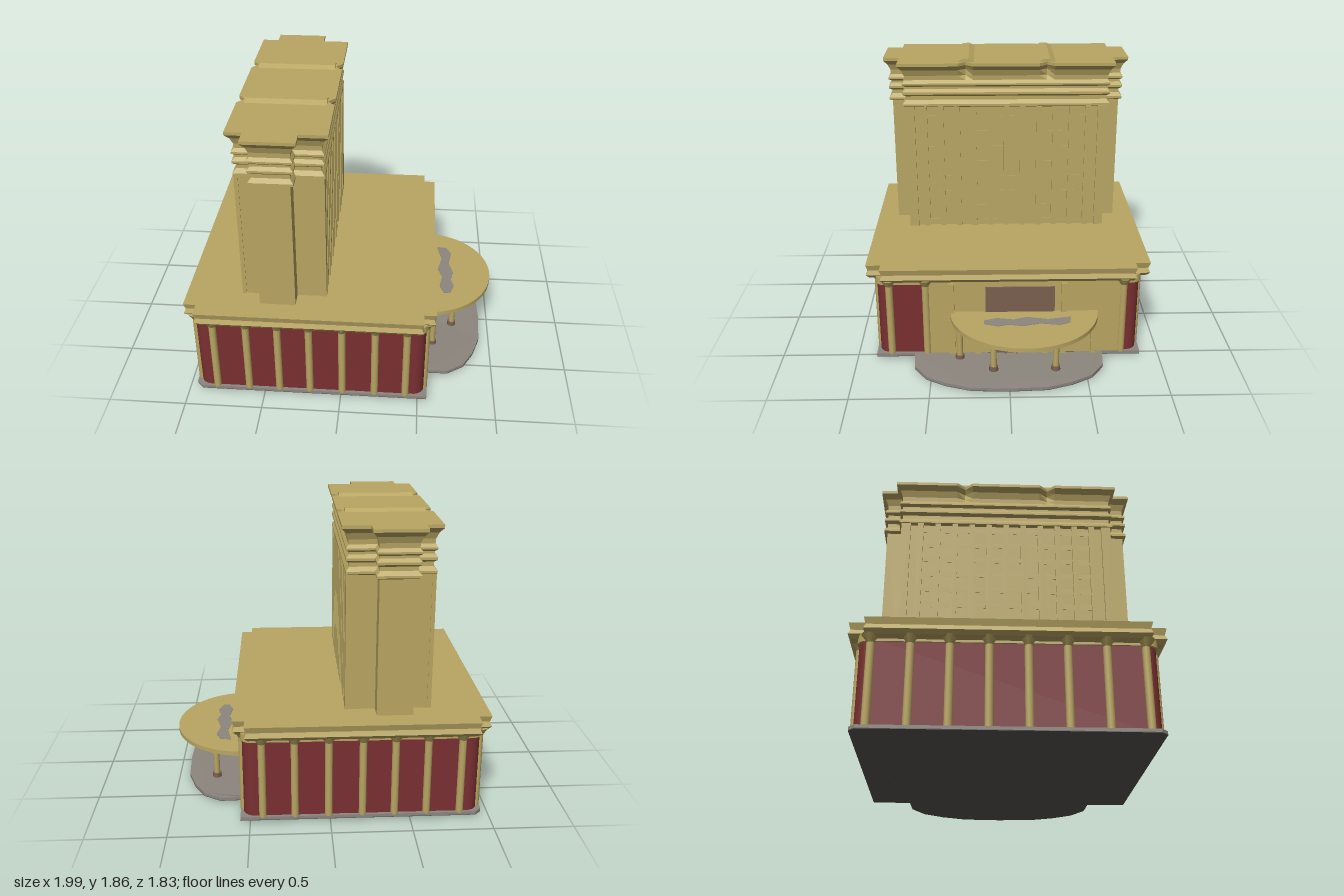
import * as THREE from 'three';

const mat = (name, color, opts = {}) => {
  const m = new THREE.MeshStandardMaterial({ color, ...opts });
  m.name = name;
  return m;
};

// Plan of a block with notched corners: wide in x over +-zIn, long in z over xIn.
// g grows the outline, n cuts V notches into both long sides at z = +-0.27.
function crossPlan([x0, x1, xi0, xi1, zIn, zOut], g, n = 0) {
  const notch = [-0.27, 0.27].flatMap(z => [[z - 0.05, 0], [z, n], [z + 0.05, 0]]);
  return [
    [xi0 - g, -zOut - g], [xi1 + g, -zOut - g], [xi1 + g, -zIn - g], [x1 + g, -zIn - g],
    ...notch.map(([z, d]) => [x1 + g - d, z]),
    [x1 + g, zIn + g], [xi1 + g, zIn + g], [xi1 + g, zOut + g],
    [xi0 - g, zOut + g], [xi0 - g, zIn + g], [x0 - g, zIn + g],
    ...notch.reverse().map(([z, d]) => [x0 - g + d, z]),
    [x0 - g, -zIn - g], [xi0 - g, -zIn - g],
  ];
}

// Stack plan outlines at rising heights and close both ends.
function loft(base, levels) {
  const rings = levels.map(([y, g, n]) => crossPlan(base, g, n).map(([x, z]) => [x, y, z]));
  const pos = [];
  const tri = (a, b, c) => pos.push(...a, ...b, ...c);
  for (let i = 0; i + 1 < rings.length; i++) {
    const lo = rings[i], hi = rings[i + 1];
    lo.forEach((p, j) => {
      const k = (j + 1) % lo.length;
      tri(p, hi[j], hi[k]);
      tri(p, hi[k], lo[k]);
    });
  }
  const top = rings[rings.length - 1], bottom = rings[0];
  const faces = THREE.ShapeUtils.triangulateShape(top.map(p => new THREE.Vector2(p[0], p[2])), []);
  for (const [a, b, c] of faces) {
    tri(top[a], top[c], top[b]);
    tri(bottom[a], bottom[b], bottom[c]);
  }
  const geo = new THREE.BufferGeometry();
  geo.setAttribute('position', new THREE.Float32BufferAttribute(pos, 3));
  geo.computeVertexNormals();
  return geo;
}

// Flat slab from an outline in x and z, hanging down from height top.
function slab(shape, top, depth) {
  const geo = new THREE.ExtrudeGeometry(shape, { depth, bevelEnabled: false, curveSegments: 32 });
  return geo.rotateX(Math.PI / 2).translate(0, top, 0);
}

function roundedRect(x0, x1, z, r) {
  const s = new THREE.Shape();
  s.absarc(x1 - r, z - r, r, 0, Math.PI / 2);
  s.absarc(x0 + r, z - r, r, Math.PI / 2, Math.PI);
  s.absarc(x0 + r, -z + r, r, Math.PI, Math.PI * 1.5);
  s.absarc(x1 - r, -z + r, r, Math.PI * 1.5, Math.PI * 2);
  return s;
}

export function createModel() {
  const model = new THREE.Group();
  const sand = mat('sand stone', 0xb9a663);
  const red = mat('dark red', 0x7a2f31);
  const grey = mat('paving grey', 0x8c867e);
  const dark = mat('underside grey', 0x5a5854);
  const brown = mat('brown', 0x7a604e);

  const add = (name, geo, material, parent = model) => {
    const mesh = new THREE.Mesh(geo, material);
    mesh.name = name;
    parent.add(mesh);
    return mesh;
  };
  const group = name => {
    const g = new THREE.Group();
    g.name = name;
    model.add(g);
    return g;
  };
  // Box given by its limits
  const box = (name, x0, x1, y0, y1, z0, z1, material, parent) =>
    add(name, new THREE.BoxGeometry(x1 - x0, y1 - y0, z1 - z0)
      .translate((x0 + x1) / 2, (y0 + y1) / 2, (z0 + z1) / 2), material, parent);

  // Paving with a forecourt that slopes down
  const half = [[0.56, 0.87], [0.56, 0.62], [0.7, 0.61], [0.81, 0.53], [0.88, 0.4], [0.93, 0.24], [0.94, 0]];
  const outline = new THREE.Shape([
    [-0.95, -0.83], [-0.95, 0.83], [-0.91, 0.87], ...half,
    ...half.slice(0, -1).reverse().map(([x, z]) => [x, -z]), [-0.91, -0.87],
  ].map(p => new THREE.Vector2(...p)));
  const paving = (top, depth) => {
    const geo = slab(outline, top, depth), p = geo.attributes.position;
    for (let i = 0; i < p.count; i++) {
      p.setY(i, p.getY(i) - Math.max(0, p.getX(i) - 0.56) / 0.38 * 0.022);
    }
    geo.computeVertexNormals();
    return geo;
  };
  add('paving', paving(0.045, 0.019), grey);
  add('pavingUnderside', paving(0.026, 0.004), dark);

  // Podium: red hall with sand columns, band and roof
  add('podiumWalls', slab(roundedRect(-0.925, 0.54, 0.85, 0.07), 0.57, 0.54), red);
  add('podiumBand', slab(roundedRect(-0.935, 0.55, 0.86, 0.07), 0.6, 0.05), sand);
  add('podiumRoof', loft([-0.99, 0.595, -0.91, 0.52, 0.82, 0.915],
    [[0.565, -0.055], [0.58, -0.02], [0.605, 0], [0.635, -0.012], [0.675, 0]]), sand);

  const columns = group('podiumColumns');
  const column = (x, z) => {
    const shaft = add('column', new THREE.CylinderGeometry(0.024, 0.024, 0.53, 10), sand, columns);
    shaft.position.set(x, 0.305, z);
    const capital = add('capital', new THREE.CylinderGeometry(0.055, 0.024, 0.05, 10), sand, columns);
    capital.position.set(x, 0.565, z);
  };
  for (const x of [-0.81, -0.6, -0.4, -0.2, 0.01, 0.22, 0.42]) {
    for (const s of [-1, 1]) column(x, s * 0.85);
  }
  for (let i = 0; i < 8; i++) column(-0.925, -0.78 + i * 0.223);
  for (const z of [0.77, 0.535, -0.745]) column(0.54, z);

  // Entrance wall with frames, window and door
  const entrance = group('entrance');
  box('entranceWall', 0.5, 0.55, 0.04, 0.58, -0.73, 0.54, sand, entrance);
  for (const z of [0.37, 0.2, -0.24, -0.36, -0.56]) {
    box('entrancePilaster', 0.54, 0.57, 0.04, z === 0.37 || z === -0.36 ? 0.56 : 0.3, z - 0.018, z + 0.018, sand, entrance);
  }
  box('entranceLintel', 0.54, 0.575, 0.27, 0.3, -0.5, 0.39, sand, entrance);
  box('upperWindow', 0.55, 0.558, 0.35, 0.53, -0.3, 0.15, brown, entrance);
  box('door', 0.55, 0.558, 0.04, 0.19, -0.05, 0.09, brown, entrance);
  for (const z of [-0.055, 0.02, 0.095]) {
    box('doorFrame', 0.55, 0.57, 0.04, 0.19, z - 0.007, z + 0.007, brown, entrance);
  }
  box('doorHead', 0.55, 0.575, 0.18, 0.195, -0.06, 0.1, brown, entrance);

  // Half-oval canopy on posts
  const canopy = group('canopy');
  const oval = r => {
    const s = new THREE.Shape();
    s.absellipse(0.54, -0.1, 0.46 - r, 0.48 - r, -Math.PI / 2, Math.PI / 2);
    s.closePath();
    return s;
  };
  add('canopyTop', slab(oval(0), 0.35, 0.028), sand, canopy);
  add('canopySoffit', slab(oval(0.03), 0.325, 0.02), sand, canopy);
  const patch = new THREE.Shape([[0.63, -0.4], [0.7, -0.39], [0.73, -0.32], [0.71, -0.2], [0.74, -0.08],
    [0.72, 0], [0.74, 0.07], [0.71, 0.16], [0.67, 0.16], [0.64, 0.08], [0.66, -0.03], [0.63, -0.12],
    [0.66, -0.25]].map(p => new THREE.Vector2(...p)));
  add('canopyPatch', slab(patch, 0.353, 0.004), grey, canopy);
  for (const [x, z] of [[0.74, 0.1], [0.74, -0.3], [0.6, 0.32]]) {
    const post = add('canopyPost', new THREE.CylinderGeometry(0.02, 0.02, 0.29, 12), sand, canopy);
    post.position.set(x, 0.175, z);
    const foot = add('postFoot', new THREE.CylinderGeometry(0.028, 0.03, 0.03, 12), brown, canopy);
    foot.position.set(x, 0.045, z);
  }

  // Tower with three ledges and a flared crown
  const tower = group('tower');
  add('towerBody', loft([-0.615, -0.115, -0.51, -0.285, 0.67, 0.775], [
    [0.66, 0], [1.535, 0], [1.545, 0.02], [1.56, 0.02], [1.585, 0], [1.61, 0], [1.625, 0.02], [1.64, 0.02],
    [1.66, 0.002], [1.675, 0.002], [1.688, 0.02], [1.7, 0.02], [1.72, 0.004], [1.75, 0.006, 0.02],
    [1.79, 0.022, 0.04], [1.82, 0.047, 0.045], [1.84, 0.047, 0.045]]), sand, tower);

  // Ribs, window sills and corner piers on both long sides
  for (const [x0, x1] of [[-0.635, -0.61], [-0.12, -0.098]]) {
    for (let i = 0; i < 11; i++) {
      const z = -0.55 + i * 0.11;
      box('rib', x0, x1, 0.67, 1.54, z - 0.018, z + 0.018, sand, tower);
    }
    for (let i = 0; i < 8; i++) {
      const y = 0.72 + i * 0.108;
      box('sill', x0 + 0.012, x1 - 0.012, y, y + 0.035, -0.55, 0.55, sand, tower);
    }
    for (const s of [-1, 1]) {
      box('cornerPier', x0, x1, 0.67, 1.54, s * 0.645 - 0.03, s * 0.645 + 0.03, sand, tower);
    }
  }

  // Low ridges that divide the tower roof in three
  for (const z of [-0.27, 0.27]) {
    const ridge = new THREE.Shape([[-0.06, 0], [0.06, 0], [0.02, 0.02], [-0.02, 0.02]]
      .map(p => new THREE.Vector2(...p)));
    const geo = new THREE.ExtrudeGeometry(ridge, { depth: 0.5, bevelEnabled: false });
    add('roofRidge', geo.rotateY(Math.PI / 2).translate(-0.615, 1.838, z), sand, tower);
  }
  return model;
}
